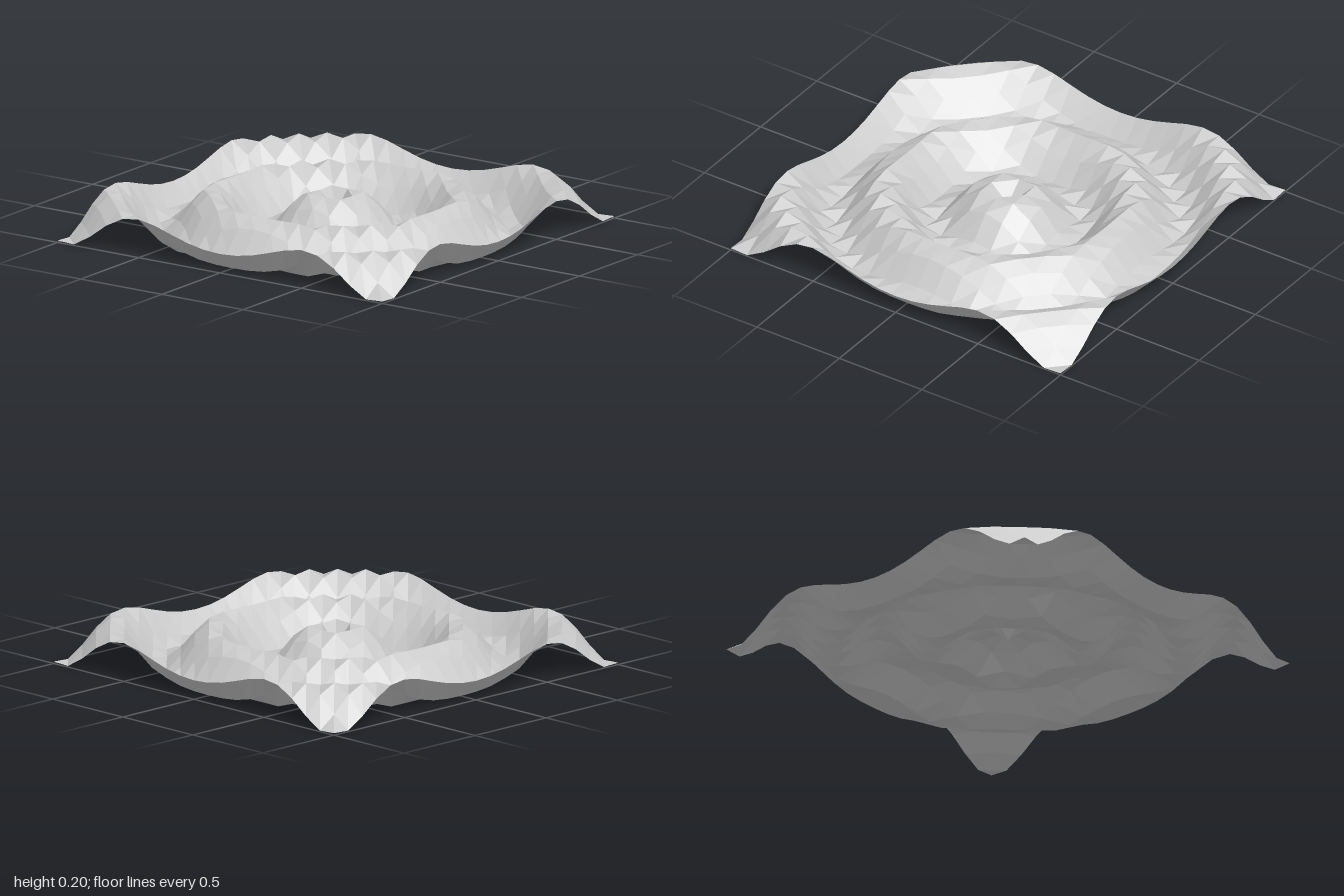
import * as THREE from 'three';

// Low-poly square sheet displaced by a circular ripple
export function createModel() {
  const group = new THREE.Group();
  const size = 2, cells = 20, amplitude = 0.1, wavelength = 0.5;

  const geometry = new THREE.PlaneGeometry(size, size, cells, cells);
  geometry.rotateX(-Math.PI / 2);

  // Raise each vertex by its distance from the centre
  const pos = geometry.attributes.position;
  for (let i = 0; i < pos.count; i++) {
    const r = Math.hypot(pos.getX(i), pos.getZ(i));
    pos.setY(i, amplitude * Math.sin((2 * Math.PI * r) / wavelength));
  }

  // Stand the lowest trough on the ground
  geometry.computeBoundingBox();
  geometry.translate(0, -geometry.boundingBox.min.y, 0);
  geometry.computeVertexNormals();

  const surface = new THREE.Mesh(geometry, new THREE.MeshStandardMaterial({
    color: 0xcccccc, flatShading: true, side: THREE.DoubleSide,
  }));
  surface.name = 'rippledSurface';
  group.add(surface);
  return group;
}
